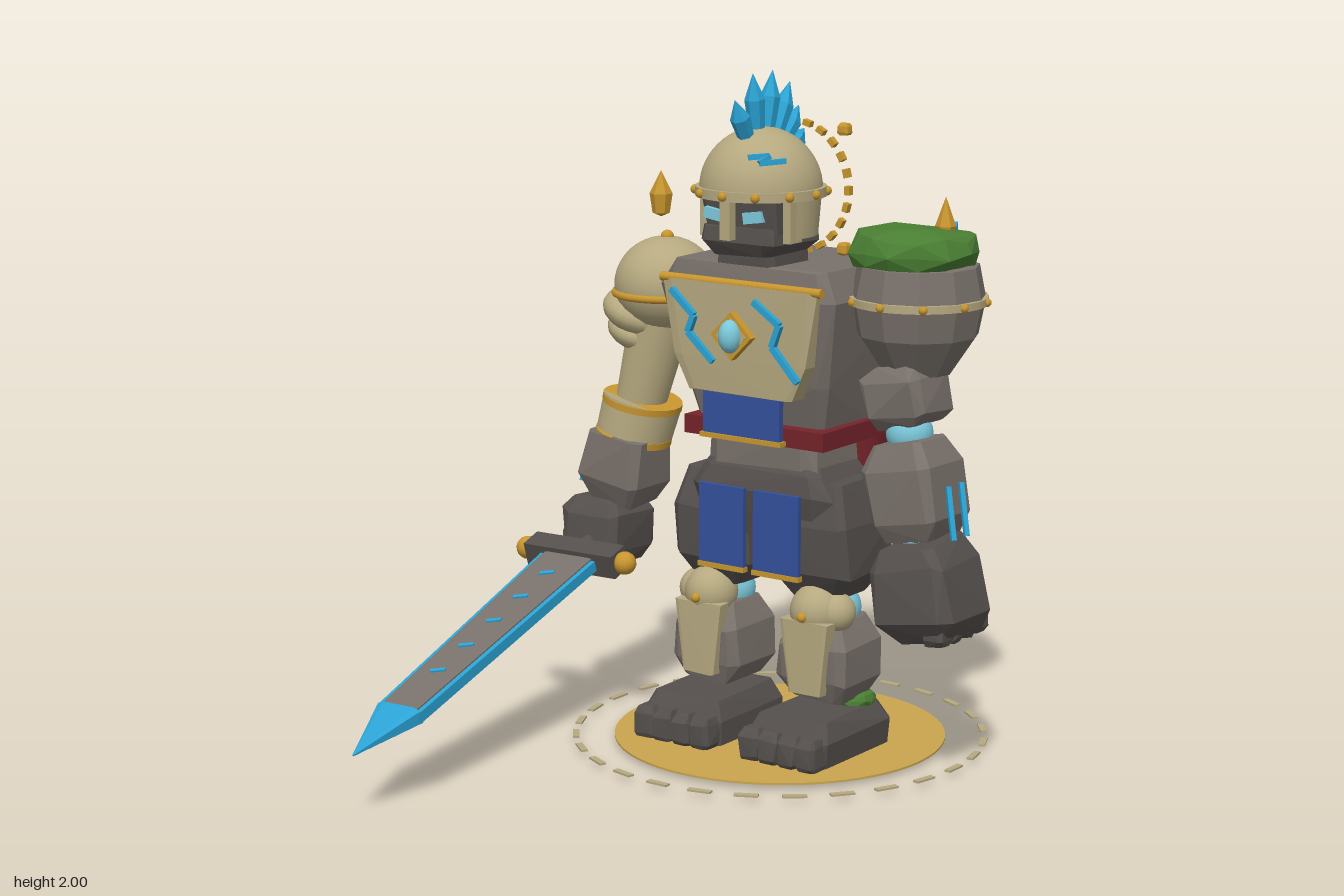
import * as THREE from 'three';
import { ConvexGeometry } from 'three/addons/geometries/ConvexGeometry.js';

const V = (x, y, z) => new THREE.Vector3(x, y, z);

export function createModel() {
  const model = new THREE.Group();
  const mat = (name, color, double) => {
    const m = new THREE.MeshStandardMaterial({ color });
    m.name = name;
    if (double) m.side = THREE.DoubleSide;
    return m;
  };
  const stone = mat('stone', 0x79716b), dark = mat('darkStone', 0x55504d);
  const beige = mat('paleArmour', 0xb6a980, true), gold = mat('gold', 0xc8962f);
  const disc = mat('discGold', 0xc9a54e), red = mat('redCloth', 0x74242a, true);
  const blue = mat('blueCloth', 0x34509c), moss = mat('moss', 0x4a7f33);
  const cyan = mat('crystal', 0x2ba3d4), pale = mat('paleGlow', 0x7cc9dc);

  let seed = 7;
  const rnd = () => (seed = (seed * 16807) % 2147483647) / 2147483647 - 0.5;

  const add = (parent, name, geo, m, x = 0, y = 0, z = 0) => {
    const mesh = new THREE.Mesh(geo, m);
    mesh.name = name;
    mesh.position.set(x, y, z);
    parent.add(mesh);
    return mesh;
  };
  const box = (p, name, m, w, h, d, x, y, z) => add(p, name, new THREE.BoxGeometry(w, h, d), m, x, y, z);
  const ball = (p, name, m, r, x, y, z, seg = 20) => add(p, name, new THREE.SphereGeometry(r, seg, Math.ceil(seg * 0.7)), m, x, y, z);

  // Chiselled block: convex hull of chamfered rectangles [y, width, depth, dx, dz]
  const block = (p, name, m, x, y, z, rings, bevel = 0.2, jitter = 0.012) => {
    const pts = [];
    for (const [ry, w, d, dx = 0, dz = 0] of rings)
      for (const sx of [-1, 1]) for (const sz of [-1, 1])
        for (const [bx, bz] of [[1 - bevel, 1], [1, 1 - bevel]])
          pts.push(V(dx + sx * w / 2 * bx + rnd() * jitter, ry + rnd() * jitter, dz + sz * d / 2 * bz + rnd() * jitter));
    return add(p, name, new ConvexGeometry(pts), m, x, y, z);
  };
  const boulder = (p, name, m, w, h, d, x, y, z) => block(p, name, m, x, y, z,
    [[-h / 2, w * 0.75, d * 0.75], [-h * 0.3, w, d], [h * 0.28, w, d], [h / 2, w * 0.72, d * 0.72]], 0.25, w * 0.1);

  // Square bar and round rod from a to b
  const bar = (p, name, m, a, b, w, h = w) => {
    const mesh = box(p, name, m, w, h, a.distanceTo(b), 0, 0, 0);
    mesh.position.copy(a).add(b).multiplyScalar(0.5);
    mesh.quaternion.setFromRotationMatrix(new THREE.Matrix4().lookAt(b, a, V(0, 1, 0)));
    return mesh;
  };
  const along = (mesh, a, b) => {
    mesh.position.copy(a);
    mesh.quaternion.setFromUnitVectors(V(0, 1, 0), b.clone().sub(a).normalize());
    return mesh;
  };
  const rod = (p, name, m, a, b, r0, r1 = r0, seg = 24) => {
    const h = a.distanceTo(b);
    return along(add(p, name, new THREE.CylinderGeometry(r1, r0, h, seg).translate(0, h / 2, 0), m), a, b);
  };
  const zigzag = (p, name, m, pts, w) => pts.slice(1).forEach((b, i) => bar(p, name, m, pts[i], b, w));
  // Pointed six-sided crystal from a to b
  const crystal = (p, name, m, a, b, r, belly = 0.7) => {
    const h = a.distanceTo(b);
    const prof = [[0, 0], [r * 0.75, h * 0.08], [r, h * belly], [0, h]].map(([x, y]) => new THREE.Vector2(x, y));
    const g = new THREE.LatheGeometry(prof, 6).toNonIndexed();
    g.computeVertexNormals();
    return along(add(p, name, g, m), a, b);
  };
  const mossPatch = (p, name, r, h, x, y, z, sx = 1, sz = 1) => {
    const pts = [];
    for (const [k, t] of [[0.9, 0], [1, 0.4], [0.88, 0.85], [0.45, 1]])
      for (let i = 0; i < 13; i++) {
        const a = i / 13 * Math.PI * 2, q = r * k * (1 + rnd() * 0.14);
        pts.push(V(Math.cos(a) * q * sx, h * (t + rnd() * 0.22), Math.sin(a) * q * sz));
      }
    return add(p, name, new ConvexGeometry(pts), moss, x, y, z);
  };

  // Base disc with a ring of dashes
  const base = new THREE.Group(); base.name = 'base'; model.add(base);
  add(base, 'disc', new THREE.CylinderGeometry(0.495, 0.495, 0.006, 64), disc, 0.03, 0.015, -0.355);
  for (let i = 0; i < 28; i++) {
    const a = i / 28 * Math.PI * 2;
    box(base, 'ringDash', beige, 0.07, 0.006, 0.02, 0.03 + Math.sin(a) * 0.61, 0.018, -0.355 + Math.cos(a) * 0.61).rotation.y = a;
  }

  // Legs
  for (const s of [-1, 1]) {
    const leg = new THREE.Group(); leg.name = s < 0 ? 'rightLeg' : 'leftLeg';
    leg.position.set(0.025 + s * 0.19, 0, 0); model.add(leg);
    block(leg, 'foot', dark, 0, 0, -0.29, [[0.005, 0.27, 0.37], [0.09, 0.28, 0.38], [0.145, 0.23, 0.32]], 0.15);
    for (let i = 0; i < 4; i++) boulder(leg, 'toe', dark, 0.068, 0.1, 0.1, (i - 1.5) * 0.067, 0.06, -0.11);
    mossPatch(leg, 'ankleMoss', 0.075, 0.035, s * 0.05, 0.145, -0.39, 1, 0.9);
    block(leg, 'shin', stone, 0, 0, -0.345, [[0.17, 0.17, 0.18], [0.23, 0.24, 0.23], [0.34, 0.23, 0.24], [0.41, 0.16, 0.16]]);
    block(leg, 'shinPlate', beige, 0, 0, -0.225, [[0.2, 0.11, 0.04], [0.42, 0.165, 0.05]], 0.15, 0.003);
    ball(leg, 'kneeJoint', pale, 0.075, 0, 0.43, -0.375);
    ball(leg, 'kneeGuard', beige, 0.08, 0, 0.44, -0.275);
    ball(leg, 'kneeSideGuard', beige, 0.06, s * 0.055, 0.44, -0.29);
    ball(leg, 'kneeBolt', gold, 0.015, 0, 0.435, -0.195, 10);
    block(leg, 'thigh', dark, -s * 0.015, 0, -0.37, [[0.47, 0.16, 0.17], [0.55, 0.27, 0.27], [0.7, 0.27, 0.3], [0.82, 0.2, 0.22]]);
    // Cloth hip panels, front and back
    for (const z of [-0.2, -0.53]) {
      box(leg, 'hipPanel', blue, 0.16, 0.24, 0.014, -s * 0.093, 0.67, z);
      box(leg, 'hipPanelTrim', gold, 0.165, 0.015, 0.022, -s * 0.093, 0.545, z);
    }
  }

  // Torso
  const torso = new THREE.Group(); torso.name = 'torso'; model.add(torso);
  block(torso, 'pelvis', dark, 0.035, 0, -0.365, [[0.64, 0.46, 0.24], [0.78, 0.5, 0.31], [0.84, 0.42, 0.27], [0.88, 0.36, 0.22]]);
  block(torso, 'waist', stone, 0.035, 0, -0.365, [[0.84, 0.38, 0.26], [0.97, 0.36, 0.26]]);
  box(torso, 'belt', red, 0.49, 0.055, 0.34, 0.04, 0.96, -0.365);
  block(torso, 'chest', stone, 0.03, 0, -0.385, [[0.96, 0.44, 0.28], [1.12, 0.52, 0.37], [1.37, 0.61, 0.46], [1.45, 0.54, 0.43]], 0.12);
  block(torso, 'chestPlate', beige, 0.03, 0, -0.175, [[1.08, 0.36, 0.07], [1.18, 0.46, 0.08], [1.4, 0.54, 0.09]], 0.12, 0.003);
  rod(torso, 'chestTrim', gold, V(-0.25, 1.4, -0.145), V(0.31, 1.4, -0.145), 0.014, 0.014, 10);
  box(torso, 'waistPanel', blue, 0.27, 0.13, 0.02, 0.025, 1.015, -0.165);
  for (const y of [0.947, 1.085]) box(torso, 'waistPanelTrim', gold, 0.285, 0.014, 0.03, 0.025, y, -0.163);
  zigzag(torso, 'chestCrack', cyan, [V(-0.2, 1.37, -0.125), V(-0.12, 1.3, -0.125), V(-0.14, 1.25, -0.125), V(-0.055, 1.17, -0.13)], 0.018);
  zigzag(torso, 'chestCrack', cyan, [V(0.09, 1.36, -0.125), V(0.18, 1.3, -0.125), V(0.155, 1.235, -0.125), V(0.24, 1.14, -0.13)], 0.018);
  box(torso, 'gemFrame', gold, 0.1, 0.1, 0.03, 0.022, 1.255, -0.123).rotation.z = Math.PI / 4;
  box(torso, 'gemInset', beige, 0.075, 0.075, 0.034, 0.022, 1.255, -0.123).rotation.z = Math.PI / 4;
  ball(torso, 'gem', pale, 0.035, 0.022, 1.255, -0.105, 12).scale.y = 1.4;

  // Cape, flaring downward with deepening folds
  const cape = new THREE.PlaneGeometry(1, 1, 40, 12), cp = cape.attributes.position;
  for (let i = 0; i < cp.count; i++) {
    const u = cp.getX(i) * 2, t = 0.5 - cp.getY(i);
    const z = t < 0.22 ? -0.635 + t * 0.09 : -0.615 - (t - 0.22) * 0.125;
    cp.setXYZ(i, 0.025 + u * (0.2 + 0.145 * Math.sqrt(t)), 1.4 - t * (0.875 + 0.02 * Math.cos(u * 9)), z + Math.cos(u * 9) * (0.006 + 0.022 * t) - 0.012 * t);
  }
  cape.computeVertexNormals();
  add(model, 'cape', cape, red);
  mossPatch(model, 'collarMoss', 0.24, 0.05, 0.01, 1.375, -0.605, 1, 0.22);

  // Head
  const head = new THREE.Group(); head.name = 'head'; head.position.set(0.02, 0, -0.26); model.add(head);
  block(head, 'neck', dark, 0, 0, -0.01, [[1.42, 0.21, 0.2], [1.5, 0.2, 0.19]]);
  block(head, 'jaw', dark, 0, 0, 0.005, [[1.48, 0.2, 0.22], [1.52, 0.26, 0.27], [1.57, 0.25, 0.26]]);
  block(head, 'face', dark, 0, 0, 0, [[1.55, 0.25, 0.24], [1.67, 0.26, 0.27]]);
  for (const s of [-1, 1]) box(head, 'eye', pale, 0.065, 0.032, 0.02, s * 0.068, 1.6, 0.132).rotation.z = s * 0.15;
  add(head, 'helmetDome', new THREE.SphereGeometry(0.178, 32, 14, 0, Math.PI * 2, 0, Math.PI / 2), beige, 0, 1.665, 0);
  add(head, 'helmetBand', new THREE.CylinderGeometry(0.19, 0.19, 0.028, 32), beige, 0, 1.66, 0);
  add(head, 'neckGuard', new THREE.CylinderGeometry(0.175, 0.165, 0.12, 28, 1, true, 1.25, Math.PI * 2 - 2.5), beige, 0, 1.595, 0);
  box(head, 'noseGuard', beige, 0.035, 0.12, 0.03, 0, 1.595, 0.165);
  for (const s of [-1, 1]) box(head, 'cheekGuard', beige, 0.025, 0.12, 0.06, s * 0.145, 1.585, 0.05);
  for (let i = 0; i < 12; i++) {
    const a = i / 12 * Math.PI * 2;
    ball(head, 'bandBolt', gold, 0.014, Math.sin(a) * 0.19, 1.66, Math.cos(a) * 0.19, 8);
  }
  const onDome = (x, y) => V(x, 1.665 + y, Math.sqrt(0.18 ** 2 - x * x - y * y));
  zigzag(head, 'helmetCrack', cyan, [onDome(0.05, 0.105), onDome(0.1, 0.11), onDome(0.085, 0.09), onDome(0.135, 0.095)], 0.015);
  // Crystal crest fanned from front to back
  [[0.47, 0.29], [0.13, 0.33], [-0.17, 0.335], [-0.46, 0.325], [-0.72, 0.29], [-0.98, 0.265], [-1.3, 0.235], [-1.6, 0.215]].forEach(([a, r]) => {
    const d = V(0, Math.cos(a), Math.sin(a)), o = V(0, 1.67, 0);
    crystal(head, 'crestCrystal', cyan, d.clone().multiplyScalar(0.14).add(o), d.multiplyScalar(r).add(o), 0.03, 0.6);
  });
  // Halo of small blocks
  for (let i = 0; i < 24; i++) {
    const a = i / 24 * Math.PI * 2;
    box(head, 'haloBlock', gold, 0.026, 0.017, 0.02, Math.sin(a) * 0.192, 1.655 + Math.cos(a) * 0.192, -0.165).rotation.z = -a;
  }
  for (const sx of [-1, 1]) for (const sy of [-1, 1])
    boulder(head, 'haloStud', gold, 0.034, 0.034, 0.034, sx * 0.178, 1.658 + sy * 0.173, -0.165);

  // Left arm: mossy boulder shoulder and stone fist
  const left = new THREE.Group(); left.name = 'leftArm'; model.add(left);
  const sh = new THREE.LatheGeometry([[0, 1.15], [0.1, 1.16], [0.175, 1.27], [0.195, 1.37], [0.175, 1.47], [0, 1.51]].map(p => new THREE.Vector2(...p)), 11).toNonIndexed();
  sh.computeVertexNormals();
  add(left, 'boulderShoulder', sh, stone, 0.475, 0, -0.39);
  add(left, 'shoulderBand', new THREE.CylinderGeometry(0.2, 0.2, 0.022, 32), beige, 0.475, 1.37, -0.39);
  for (let i = 0; i < 10; i++) ball(left, 'shoulderBolt', gold, 0.013, 0.475 + Math.sin(i * 0.628) * 0.2, 1.37, -0.39 + Math.cos(i * 0.628) * 0.2, 8);
  mossPatch(left, 'shoulderMoss', 0.185, 0.1, 0.465, 1.47, -0.385);
  crystal(left, 'shoulderSpike', gold, V(0.525, 1.54, -0.45), V(0.525, 1.66, -0.45), 0.03, 0.3);
  crystal(left, 'shoulderCrystal', cyan, V(0.5, 1.53, -0.46), V(0.52, 1.58, -0.525), 0.02);
  boulder(left, 'upperArm', stone, 0.2, 0.17, 0.2, 0.465, 1.1, -0.35).rotation.z = 0.15;
  ball(left, 'elbow', pale, 0.068, 0.49, 0.995, -0.33);
  block(left, 'forearm', stone, 0.53, 0.83, -0.31, [[-0.13, 0.16, 0.17], [-0.07, 0.21, 0.23], [0.08, 0.23, 0.23], [0.15, 0.16, 0.17]]).rotation.z = 0.18;
  ball(left, 'wrist', pale, 0.06, 0.565, 0.7, -0.28);
  boulder(left, 'fist', dark, 0.25, 0.27, 0.27, 0.605, 0.57, -0.26).rotation.z = 0.2;
  for (let i = 0; i < 4; i++) boulder(left, 'finger', dark, 0.07, 0.09, 0.065, 0.69, 0.48, -0.36 + i * 0.062);
  for (const z of [-0.29, -0.36]) bar(left, 'armStrip', cyan, V(0.685, 0.72, z + 0.03), V(0.645, 0.865, z), 0.014);

  // Right arm: armoured, holding the sword
  const right = new THREE.Group(); right.name = 'rightArm'; model.add(right);
  ball(right, 'pauldron', beige, 0.155, -0.395, 1.335, -0.36, 28).scale.set(1, 0.93, 1);
  ball(right, 'pauldronBolt', gold, 0.02, -0.39, 1.478, -0.36, 10);
  add(right, 'pauldronRim', new THREE.TorusGeometry(0.152, 0.012, 8, 40).rotateX(Math.PI / 2), gold, -0.395, 1.31, -0.36);
  [[-0.475, 1.245, 0.135], [-0.48, 1.185, 0.115]].forEach(([x, y, r]) => {
    const lame = ball(right, 'pauldronLame', beige, r, x, y, -0.355);
    lame.scale.set(0.9, 0.5, 1);
    lame.rotation.z = -0.35;
  });
  rod(right, 'upperArm', beige, V(-0.475, 0.95, -0.33), V(-0.39, 1.32, -0.36), 0.075, 0.1);
  const cuffTop = V(-0.462, 0.975, -0.33), cuffEnd = V(-0.485, 0.87, -0.315);
  rod(right, 'cuff', beige, cuffEnd, cuffTop, 0.115, 0.12);
  for (const [c, r] of [[cuffTop, 0.122], [cuffEnd, 0.117]])
    rod(right, 'cuffTrim', gold, c.clone().add(V(-0.002, -0.01, 0)), c.clone().add(V(0.002, 0.01, 0)), r);
  block(right, 'forearm', stone, -0.5, 0.78, -0.3, [[-0.11, 0.16, 0.16], [-0.04, 0.22, 0.22], [0.1, 0.19, 0.2]]).rotation.z = -0.15;
  ball(right, 'wrist', pale, 0.06, -0.535, 0.675, -0.285);
  boulder(right, 'hand', dark, 0.21, 0.19, 0.22, -0.56, 0.58, -0.285);
  for (let i = 0; i < 4; i++) boulder(right, 'finger', dark, 0.07, 0.08, 0.05, -0.63, 0.55, -0.36 + i * 0.05);
  for (const z of [-0.27, -0.34]) bar(right, 'armStrip', cyan, V(-0.635, 0.72, z + 0.02), V(-0.6, 0.86, z), 0.014);
  crystal(model, 'floatingCrystal', gold, V(-0.48, 1.52, -0.45), V(-0.48, 1.66, -0.45), 0.035, 0.5);

  // Sword, built along +z and aimed forward and down
  const sword = new THREE.Group(); sword.name = 'sword';
  sword.position.set(-0.55, 0.525, -0.11);
  sword.lookAt(-0.49, 0.185, 0.96);
  model.add(sword);
  const lie = mesh => { mesh.rotation.x = Math.PI / 2; return mesh; };
  box(sword, 'guard', dark, 0.32, 0.075, 0.075, 0, 0, 0);
  for (const s of [-1, 1]) {
    ball(sword, 'guardKnob', gold, 0.035, s * 0.178, 0, 0, 14);
    bar(sword, 'bladeEdge', cyan, V(s * 0.088, 0, 0.04), V(s * 0.064, 0, 0.91), 0.022, 0.032);
    for (let i = 0; i < 5; i++)
      bar(sword, 'rune', cyan, V(-0.02, s * 0.025, 0.16 + i * 0.14), V(0.02, s * 0.025, 0.14 + i * 0.14), 0.014, 0.006);
  }
  lie(block(sword, 'blade', stone, 0, 0, 0, [[0.03, 0.17, 0.046], [0.91, 0.12, 0.046]], 0.1, 0));
  lie(block(sword, 'bladeTip', cyan, 0, 0, 0, [[0.9, 0.15, 0.055], [1.124, 0.004, 0.004]], 0.3, 0));
  rod(sword, 'grip', dark, V(0, 0, -0.36), V(0, 0, 0), 0.028, 0.028, 10);
  rod(sword, 'pommelRing', gold, V(0, 0, -0.36), V(0, 0, -0.335), 0.036, 0.036, 12);
  crystal(sword, 'pommelCrystal', cyan, V(0, 0, -0.35), V(0, 0, -0.46), 0.04, 0.5);
  return model;
}
